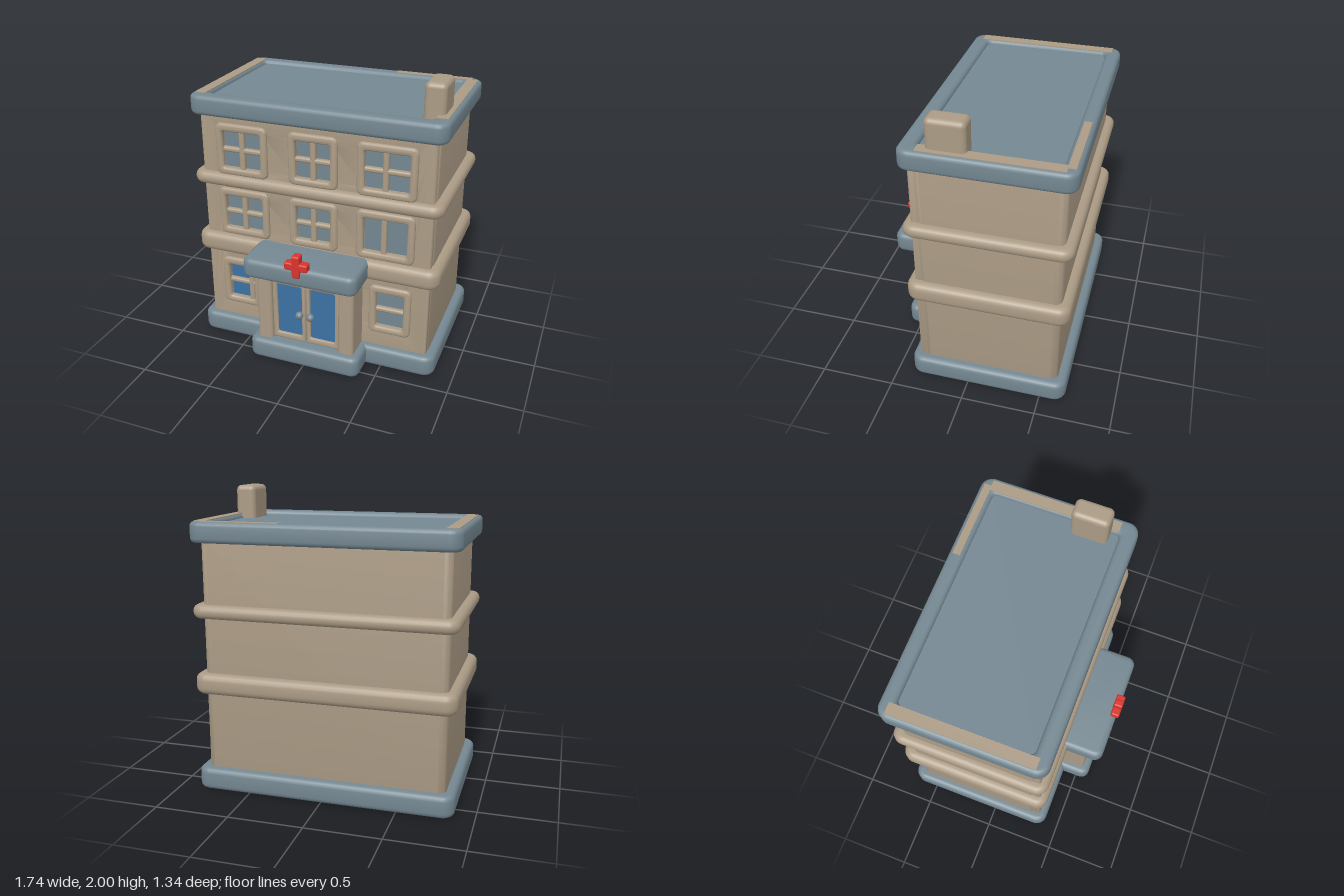
import * as THREE from 'three';
import { toCreasedNormals } from 'three/addons/utils/BufferGeometryUtils.js';
import { RoundedBoxGeometry } from 'three/addons/geometries/RoundedBoxGeometry.js';

const material = (name, color) => Object.assign(new THREE.MeshStandardMaterial({ color }), { name });

// Rounded rectangle drawn into a Shape or Path
function roundRect(path, x0, x1, y0, y1, r) {
  path.moveTo(x0 + r, y0);
  path.lineTo(x1 - r, y0);
  path.absarc(x1 - r, y0 + r, r, -Math.PI / 2, 0);
  path.lineTo(x1, y1 - r);
  path.absarc(x1 - r, y1 - r, r, 0, Math.PI / 2);
  path.lineTo(x0 + r, y1);
  path.absarc(x0 + r, y1 - r, r, Math.PI / 2, Math.PI);
  path.lineTo(x0, y0 + r);
  path.absarc(x0 + r, y0 + r, r, Math.PI, Math.PI * 1.5);
  return path;
}

// Extrusion from a to b with softened edges that stay inside the outline
function softExtrude(shape, a, b, bevel) {
  const g = new THREE.ExtrudeGeometry(shape, {
    depth: b - a - 2 * bevel, bevelThickness: bevel, bevelSize: bevel,
    bevelOffset: -bevel, bevelSegments: 4, curveSegments: 6,
  });
  g.translate(0, 0, a + bevel);
  return toCreasedNormals(g, 0.6);
}

export function createModel() {
  const tan = material('tan plaster', 0xab9b85);
  const slate = material('slate blue trim', 0x748791);
  const blue = material('blue glass', 0x3d72a3);
  const red = material('red sign', 0xd8352c);
  const model = new THREE.Group();
  model.name = 'building';

  function add(name, geometry, mat, parent = model) {
    const mesh = new THREE.Mesh(geometry, mat);
    mesh.name = name;
    parent.add(mesh);
    return mesh;
  }
  // Soft box given by its limits
  function block(name, mat, [x0, x1], [y0, y1], [z0, z1], r, parent) {
    const g = new RoundedBoxGeometry(x1 - x0, y1 - y0, z1 - z0, 4, r);
    g.translate((x0 + x1) / 2, (y0 + y1) / 2, (z0 + z1) / 2);
    return add(name, g, mat, parent);
  }
  // Horizontal slab with rounded plan corners and an optional opening
  function slab(name, mat, [x0, x1], [y0, y1], [z0, z1], r, bevel, opening) {
    const shape = roundRect(new THREE.Shape(), x0, x1, -z1, -z0, r);
    if (opening) shape.holes.push(roundRect(new THREE.Path(), ...opening));
    return add(name, softExtrude(shape, y0, y1, bevel).rotateX(-Math.PI / 2), mat);
  }
  // Upright ring frame
  function frame(name, outer, inner, r, z0, z1, bevel, parent) {
    const shape = roundRect(new THREE.Shape(), ...outer, r);
    shape.holes.push(roundRect(new THREE.Path(), ...inner, 0.015));
    return add(name, softExtrude(shape, z0, z1, bevel), tan, parent);
  }
  // Thin glass plate
  function pane(name, mat, [x0, x1, y0, y1], z, parent) {
    const g = new THREE.BoxGeometry(x1 - x0, y1 - y0, 0.006);
    g.translate((x0 + x1) / 2, (y0 + y1) / 2, z);
    return add(name, g, mat, parent);
  }

  // Plinth, string courses and cornice
  const plan = [-0.87, 0.87], deep = [-0.67, 0.4];
  slab('plinth', slate, plan, [0, 0.15], deep, 0.08, 0.035);
  slab('lowerLedge', tan, plan, [0.67, 0.81], deep, 0.08, 0.045);
  slab('upperLedge', tan, plan, [1.18, 1.27], deep, 0.08, 0.04);
  slab('cornice', slate, plan, [1.67, 1.805], deep, 0.08, 0.03, [-0.76, 0.76, -0.29, 0.57, 0.03]);
  block('roofFloor', slate, [-0.79, 0.79], [1.69, 1.775], [-0.6, 0.32], 0.01);

  // Worn strips along the parapet
  for (const s of [-1, 1]) {
    const strip = new THREE.BoxGeometry(0.075, 0.006, s < 0 ? 0.94 : 0.88);
    strip.translate(s * 0.805, 1.805, s < 0 ? -0.14 : -0.16);
    add('parapetStrip', strip, tan);
  }
  add('rearParapetStrip', new THREE.BoxGeometry(0.54, 0.006, 0.05).translate(0.53, 1.805, -0.62), tan);
  block('chimney', tan, [0.67, 0.81], [1.7, 2], [-0.02, 0.23], 0.035);

  // Main walls
  slab('walls', tan, [-0.81, 0.81], [0.1, 1.7], [-0.61, 0.322], 0.05, 0.01);

  // Windows: glass opening, glass, offset of the upright bar (null for none), cross bar
  const windows = [];
  for (const [y0, y1, top] of [[0.87, 1.11, false], [1.315, 1.57, true]]) {
    windows.push({ hole: [-0.64, -0.37, y0, y1], bar: 0, cross: true });
    windows.push({ hole: [-0.12, 0.12, y0, y1], bar: 0, cross: true });
    windows.push({ hole: [0.35, 0.645, y0, y1], bar: -0.01, cross: top });
  }
  windows.push({ hole: [-0.645, -0.455, 0.31, 0.57], bar: 0.07, cross: true, glass: blue });
  windows.push({ hole: [0.45, 0.64, 0.31, 0.57], bar: null, cross: true });

  // Front wall pierced by the windows
  const facade = roundRect(new THREE.Shape(), -0.805, 0.805, 0.1, 1.72, 0.02);
  for (const w of windows) facade.holes.push(roundRect(new THREE.Path(), ...w.hole, 0.01));
  add('frontWall', softExtrude(facade, 0.29, 0.348, 0.015), tan);

  for (const { hole, bar, cross, glass = slate } of windows) {
    const [x0, x1, y0, y1] = hole, g = new THREE.Group();
    g.name = 'window';
    model.add(g);
    frame('windowFrame', [x0 - 0.05, x1 + 0.05, y0 - 0.05, y1 + 0.055], hole, 0.04, 0.32, 0.372, 0.018, g);
    pane('windowGlass', glass, hole, 0.325, g);
    const cx = (x0 + x1) / 2, cy = (y0 + y1) / 2;
    if (bar !== null) {
      block('windowUpright', tan, [cx + bar - 0.02, cx + bar + 0.02], [y0 - 0.01, y1 + 0.01], [0.315, 0.36], 0.015, g);
    }
    if (cross) block('windowCrossbar', tan, [x0 - 0.01, x1 + 0.01], [cy - 0.018, cy + 0.018], [0.315, 0.358], 0.015, g);
  }

  // Entrance porch
  slab('porchStep', slate, [-0.4, 0.4], [0, 0.15], [0.2, 0.59], 0.06, 0.035);
  slab('canopy', slate, [-0.4, 0.4], [0.67, 0.81], [0.3, 0.65], 0.06, 0.035);
  block('porchBody', tan, [-0.3, 0.3], [0.1, 0.72], [0.3, 0.485], 0.01);
  block('lintel', tan, [-0.27, 0.27], [0.605, 0.72], [0.4, 0.515], 0.015);
  for (const s of [-1, 1]) {
    const [a, b] = s < 0 ? [-0.35, -0.24] : [0.24, 0.35];
    block('porchPillar', tan, [a, b], [0.1, 0.72], [0.3, 0.54], 0.025);
    // Door leaf with glass and knob
    const door = new THREE.Group();
    door.name = s < 0 ? 'rightDoor' : 'leftDoor';
    model.add(door);
    const outer = s < 0 ? [-0.245, -0.002, 0.15, 0.615] : [0.002, 0.245, 0.15, 0.615];
    const inner = s < 0 ? [-0.21, -0.03, 0.195, 0.58] : [0.03, 0.21, 0.195, 0.58];
    frame('doorFrame', outer, inner, 0.015, 0.46, 0.51, 0.01, door);
    pane('doorGlass', blue, inner, 0.49, door);
    add('doorKnob', new THREE.SphereGeometry(0.027, 20, 14).translate(s * 0.04, 0.375, 0.525), slate, door);
  }

  // Cross sign on the canopy
  const sign = new THREE.Group();
  sign.name = 'crossSign';
  model.add(sign);
  block('signUpright', red, [-0.027, 0.027], [0.75, 0.91], [0.605, 0.67], 0.012, sign);
  block('signArm', red, [-0.08, 0.08], [0.803, 0.857], [0.606, 0.669], 0.012, sign);

  return model;
}
